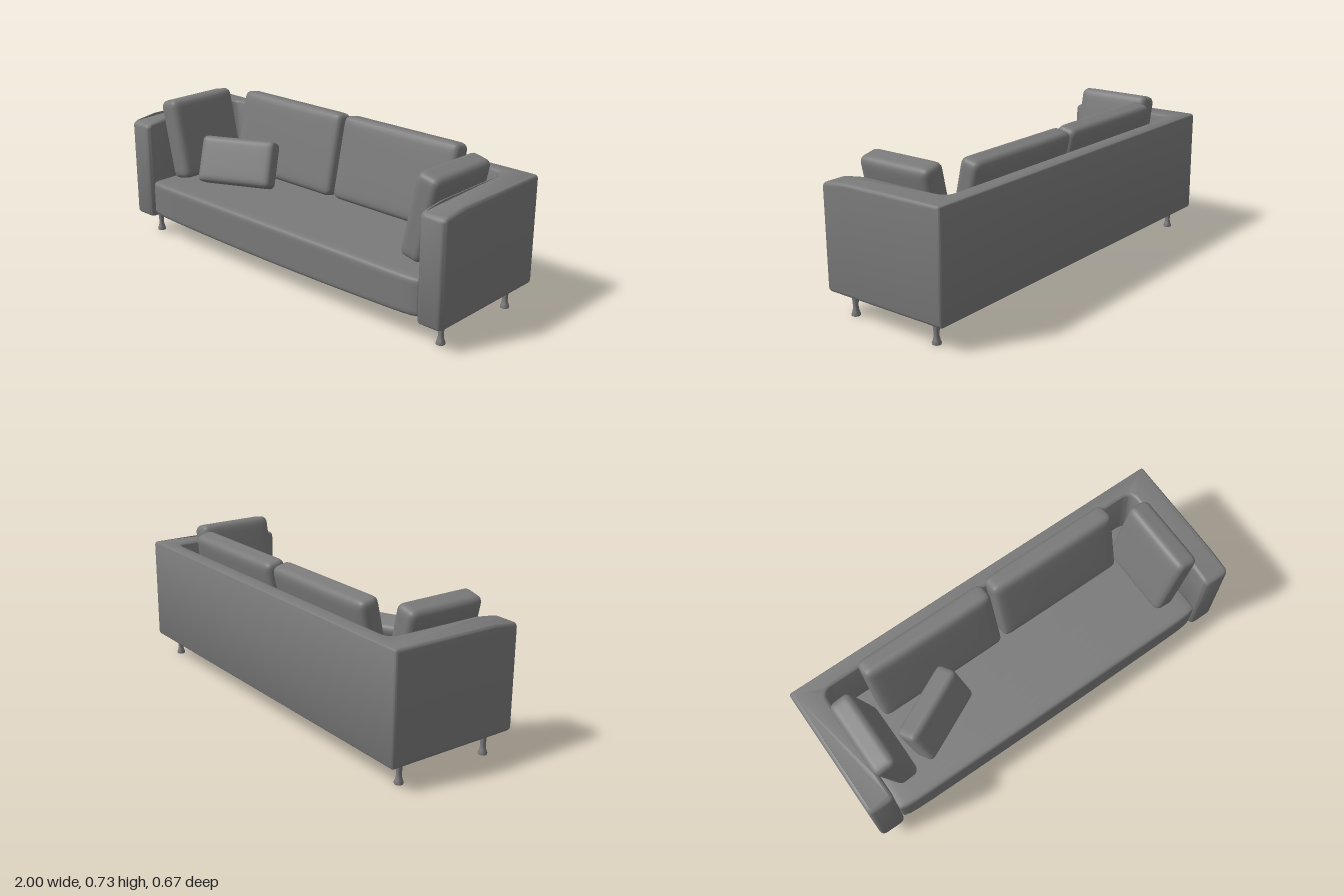
import * as THREE from 'three';
import { mergeVertices, toCreasedNormals } from 'three/addons/utils/BufferGeometryUtils.js';

const material = new THREE.MeshStandardMaterial({ color: 0x7a7a7a });

function addMesh(parent, name, geometry, x = 0, y = 0, z = 0) {
  const mesh = new THREE.Mesh(geometry, material);
  mesh.name = name;
  mesh.position.set(x, y, z);
  parent.add(mesh);
  return mesh;
}

// Smooth soft box: rounded edges, faces swelling slightly along the thin z axis
function softBox(w, h, d, r, puff = 0, rule = null) {
  const n = 20;
  const geo = new THREE.BoxGeometry(2, 2, 2, n, n, n);
  geo.deleteAttribute('uv');
  geo.deleteAttribute('normal');
  const merged = mergeVertices(geo, 1e-4);
  const pos = merged.attributes.position;
  const half = new THREE.Vector3(w / 2, h / 2, d / 2);
  const core = half.clone().subScalar(r);
  const coreMin = core.clone().negate();
  const p = new THREE.Vector3(), inner = new THREE.Vector3();
  const spread = (u) => Math.sin((u * Math.PI) / 2);
  for (let i = 0; i < pos.count; i++) {
    p.fromBufferAttribute(pos, i);
    p.set(spread(p.x), spread(p.y), spread(p.z));
    const swell = 1 - puff * (1 - (1 - p.x ** 4) * (1 - p.y ** 4));
    p.multiply(half);
    inner.copy(p).clamp(coreMin, core);
    p.sub(inner).setLength(r).add(inner);
    p.z *= swell;
    if (rule) rule(p);
    pos.setXYZ(i, p.x, p.y, p.z);
  }
  merged.computeVertexNormals();
  return merged;
}

// U-shaped plan of the arms and back, extruded upward with soft edges
function frameGeometry() {
  const X = 1, Z = 0.335, inX = 0.868, inZ = 0.255, r = 0.03, c = 0.05, bend = -0.2;
  const s = new THREE.Shape(); // plan: shape y is -z
  s.moveTo(-X + 0.015, Z);
  s.lineTo(X - 0.015, Z);
  s.quadraticCurveTo(X, Z, X, Z - 0.015);
  s.lineTo(X, bend);
  s.lineTo(X, -Z + r);
  s.quadraticCurveTo(X, -Z, X - r, -Z);
  s.lineTo(inX + r, -Z);
  s.quadraticCurveTo(inX, -Z, inX, -Z + r);
  s.lineTo(inX, bend);
  s.lineTo(inX, inZ - c);
  s.quadraticCurveTo(inX, inZ, inX - c, inZ);
  s.lineTo(-inX + c, inZ);
  s.quadraticCurveTo(-inX, inZ, -inX, inZ - c);
  s.lineTo(-inX, bend);
  s.lineTo(-inX, -Z + r);
  s.quadraticCurveTo(-inX, -Z, -inX - r, -Z);
  s.lineTo(-X + r, -Z);
  s.quadraticCurveTo(-X, -Z, -X, -Z + r);
  s.lineTo(-X, bend);
  s.lineTo(-X, Z - 0.015);
  s.quadraticCurveTo(-X, Z, -X + 0.015, Z);
  const b = 0.018, bottom = 0.11, top = 0.628;
  const geo = new THREE.ExtrudeGeometry(s, {
    depth: top - bottom - 2 * b, curveSegments: 6,
    bevelThickness: b, bevelSize: b, bevelOffset: -b, bevelSegments: 4,
  });
  geo.rotateX(-Math.PI / 2);
  geo.translate(0, bottom + b, 0);
  // arm tops roll down at the front
  const pos = geo.attributes.position;
  for (let i = 0; i < pos.count; i++) {
    const y = pos.getY(i), z = pos.getZ(i);
    if (y > 0.5 && z > 0.15) pos.setY(i, y - 0.003 - 0.025 * ((z - 0.15) / 0.185) ** 3);
  }
  return toCreasedNormals(geo, 0.7);
}

export function createModel() {
  const sofa = new THREE.Group();
  sofa.name = 'sofa';

  addMesh(sofa, 'armsAndBack', frameGeometry());
  addMesh(sofa, 'underside', softBox(1.92, 0.04, 0.58, 0.01), 0, 0.129, -0.02);

  // Seat: front bottom edge bows gently, front corners are rounded in
  const seat = softBox(1.745, 0.196, 0.62, 0.025, 0, (p) => {
    const e = Math.abs(p.x) / 0.8725;
    if (p.y < 0 && p.z > 0) p.y += 0.016 * e * e * (p.z / 0.31);
    if (p.z > 0) p.z -= 0.012 * e ** 20;
  });
  addMesh(sofa, 'seat', seat, 0, 0.209, 0.021);

  // Large cushions leaning on the back and on both arms
  const backCushion = softBox(0.675, 0.41, 0.112, 0.034, 0.08);
  const sideCushion = softBox(0.395, 0.405, 0.125, 0.034, 0.08);
  for (const side of [-1, 1]) {
    const label = side > 0 ? 'left' : 'right';
    const back = addMesh(sofa, label + 'BackCushion', backCushion,
      side * 0.346, 0.524, side > 0 ? -0.172 : -0.167);
    back.rotation.x = -0.22;

    const lean = new THREE.Group();
    lean.name = label + 'SideCushion';
    lean.position.set(side > 0 ? 0.782 : -0.794, 0.523, 0.037);
    lean.rotation.z = -side * 0.22;
    addMesh(lean, label + 'SideCushionPad', sideCushion).rotation.y = Math.PI / 2;
    sofa.add(lean);
  }

  // Small throw pillow, turned and tipped back on the seat
  const pillow = addMesh(sofa, 'throwPillow',
    softBox(0.385, 0.235, 0.115, 0.026, 0.06), -0.49, 0.435, 0.065);
  pillow.rotation.set(-0.42, 0.45, 0, 'YXZ');

  // Turned legs with flared feet
  const profile = [[0, 0], [0.02, 0], [0.021, 0.006], [0.016, 0.02], [0.0125, 0.035],
    [0.0125, 0.05], [0.015, 0.08], [0.0165, 0.12], [0, 0.12]];
  const leg = toCreasedNormals(
    new THREE.LatheGeometry(profile.map(([x, y]) => new THREE.Vector2(x, y)), 24), 0.7);
  for (const x of [-1, 1])
    for (const z of [-1, 1])
      addMesh(sofa, (z > 0 ? 'front' : 'back') + (x > 0 ? 'Left' : 'Right') + 'Leg',
        leg, x * 0.93, 0, z > 0 ? 0.233 : -0.241);

  return sofa;
}
